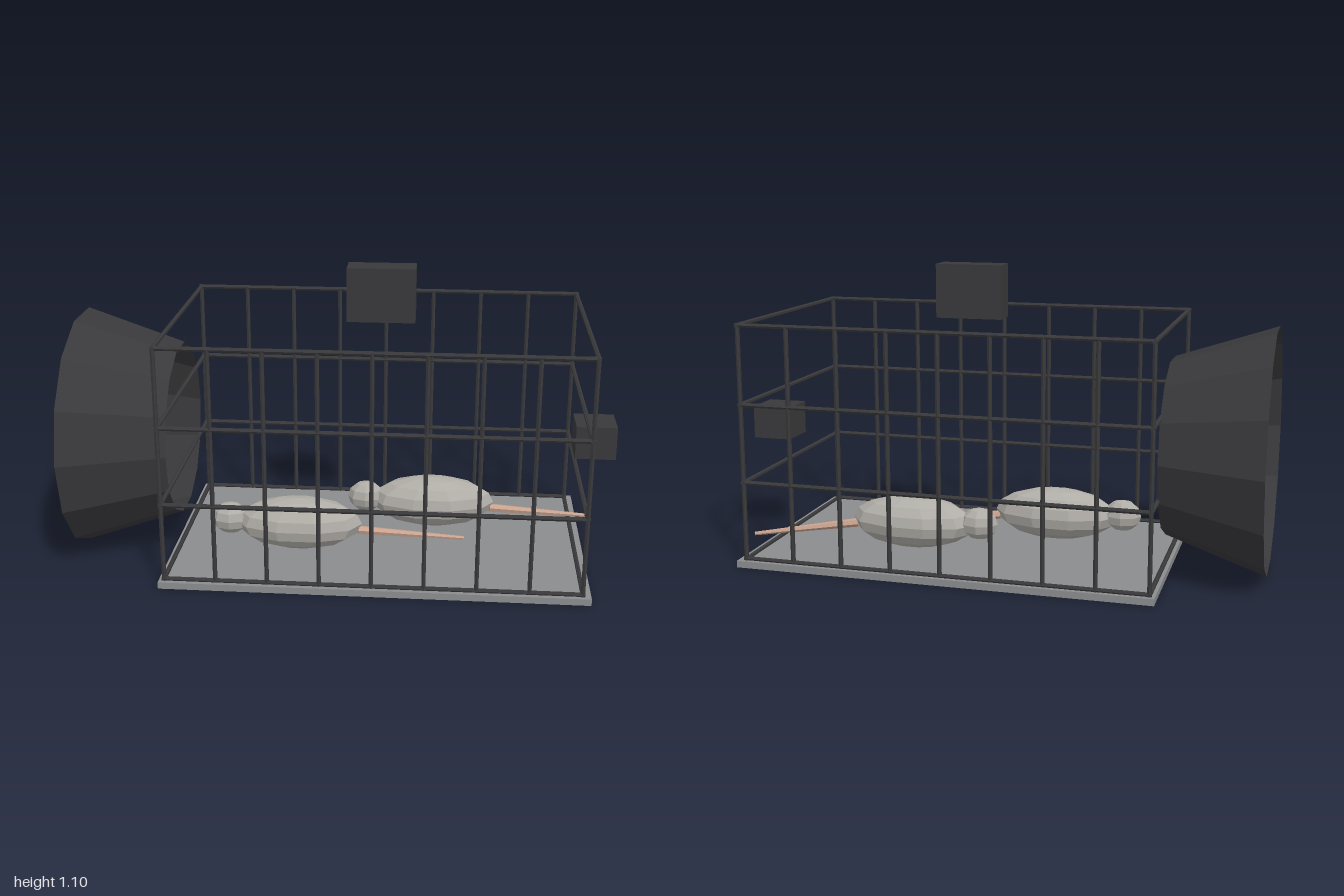
import * as THREE from 'three';

const mat = (color, side = THREE.FrontSide) =>
  new THREE.MeshStandardMaterial({ color, flatShading: true, side });
const dark = mat(0x39393b);
const plate = mat(0x8a8c8e);
const fur = mat(0xb0ada7);
const skin = mat(0xc8a28e);

function add(parent, name, geometry, material, x = 0, y = 0, z = 0) {
  const mesh = new THREE.Mesh(geometry, material);
  mesh.name = name;
  mesh.position.set(x, y, z);
  parent.add(mesh);
  return mesh;
}

// Straight round bar between two points, optionally tapered
function rod(parent, name, a, b, r0, r1, sides, material) {
  const from = new THREE.Vector3(...a), to = new THREE.Vector3(...b);
  const dir = to.clone().sub(from);
  const mesh = add(parent, name, new THREE.CylinderGeometry(r1, r0, dir.length(), sides), material);
  mesh.position.copy(from).add(to).multiplyScalar(0.5);
  mesh.quaternion.setFromUnitVectors(new THREE.Vector3(0, 1, 0), dir.normalize());
}

// Rodent lying along x, head towards -x
function createRodent(name) {
  const g = new THREE.Group();
  g.name = name;
  add(g, 'body', new THREE.SphereGeometry(1, 10, 8), fur, 0, 0.129, 0).scale.set(0.24, 0.099, 0.111);
  add(g, 'head', new THREE.SphereGeometry(1, 8, 6), fur, -0.262, 0.139, 0).scale.set(0.072, 0.061, 0.056);
  rod(g, 'tail', [0.225, 0.105, 0], [0.625, 0.05, -0.078], 0.017, 0.007, 6, skin);
  return g;
}

export function createModel() {
  const model = new THREE.Group();
  model.name = 'rodentCage';

  // Floor
  add(model, 'floorPlate', new THREE.BoxGeometry(1.55, 0.025, 0.92), plate, 0.125, 0.0125, 0);

  // Wire cage: four rail rings and upright bars along both long sides
  const cage = new THREE.Group();
  cage.name = 'cage';
  model.add(cage);
  const x0 = -0.63, x1 = 0.87, zs = 0.437, r = 0.0085;
  for (const y of [0.03, 0.32, 0.61, 0.9]) {
    for (const z of [-zs, zs]) rod(cage, 'longRail', [x0 - r, y, z], [x1 + r, y, z], r, r, 6, dark);
    for (const x of [x0, x1]) rod(cage, 'endRail', [x, y, -zs - r], [x, y, zs + r], r, r, 6, dark);
  }
  for (let i = 0; i <= 8; i++) {
    const x = x0 + (x1 - x0) * i / 8;
    for (const z of [-zs, zs]) rod(cage, 'uprightBar', [x, 0.025, z], [x, 0.9, z], r, r, 6, dark);
  }

  // Open funnel, wide end outwards
  const funnel = new THREE.CylinderGeometry(0.45, 0.327, 0.37, 14, 1, true).rotateZ(Math.PI / 2);
  add(model, 'funnel', funnel, mat(0x39393b, THREE.DoubleSide), -0.815, 0.455, 0);

  // Device boxes on the roof and the end wall
  add(model, 'topBox', new THREE.BoxGeometry(0.25, 0.2, 0.1), dark, 0.125, 1.0, 0);
  add(model, 'endBox', new THREE.BoxGeometry(0.15, 0.125, 0.15), dark, 0.925, 0.465, 0);

  // Two rodents
  const front = createRodent('frontRodent');
  front.position.set(-0.175, 0, 0.123);
  const back = createRodent('backRodent');
  back.position.set(0.325, 0, -0.127);
  model.add(front, back);

  return model;
}
